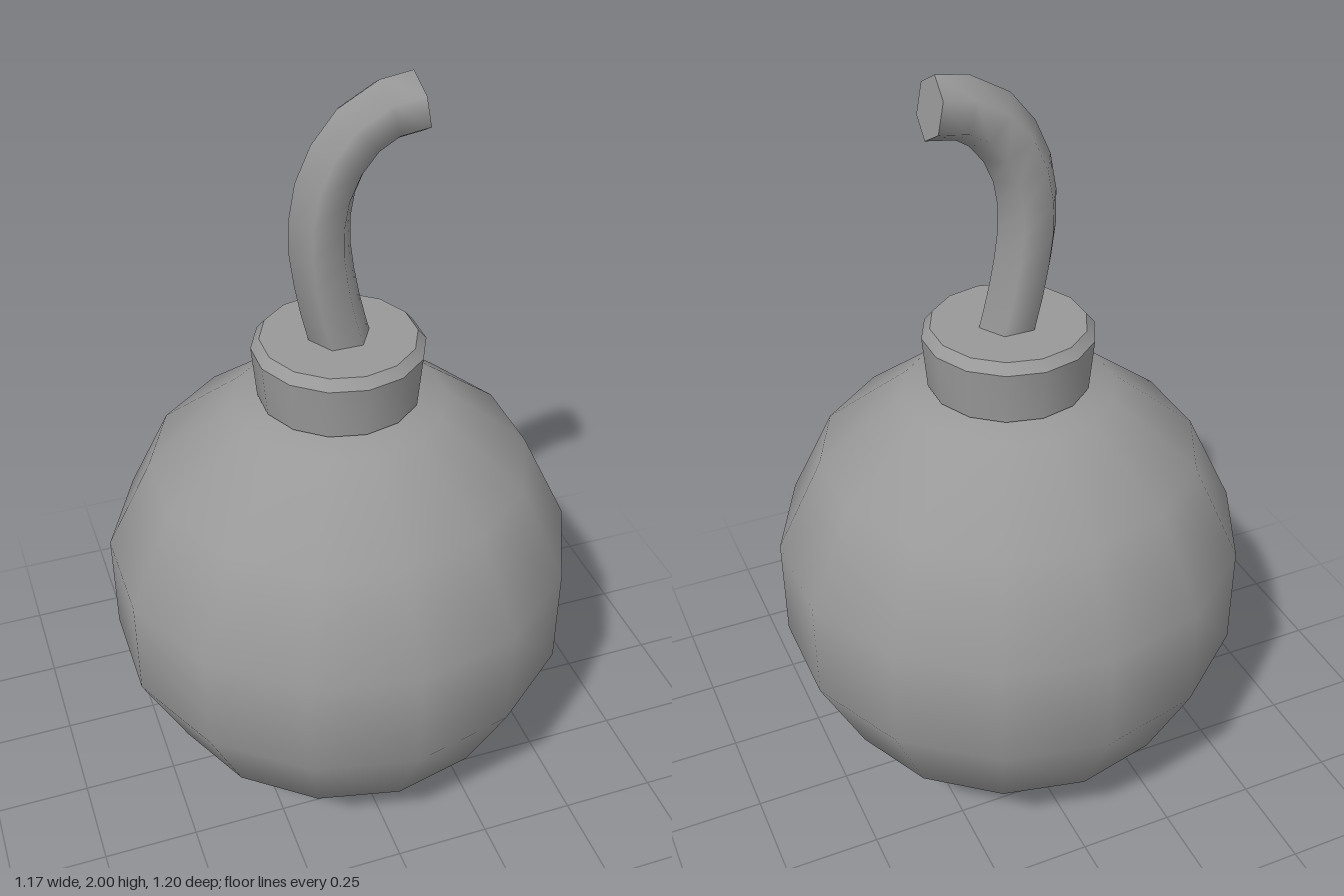
import * as THREE from 'three';
import { toCreasedNormals } from 'three/addons/utils/BufferGeometryUtils.js';

const SIDES = 14;

// Bends an upright unit cylinder along a curve in the xy plane
function bentRod(curve, radius, sides, steps) {
  const geometry = new THREE.CylinderGeometry(radius, radius, 1, sides, steps);
  geometry.rotateY(Math.PI / 2); // put corners, not flats, in the bending plane
  geometry.translate(0, 0.5, 0);
  const pos = geometry.attributes.position;
  for (let i = 0; i < pos.count; i++) {
    const t = THREE.MathUtils.clamp(pos.getY(i), 0, 1);
    const p = curve.getPointAt(t);
    const d = curve.getTangentAt(t);
    const x = pos.getX(i);
    pos.setXYZ(i, p.x + d.y * x, p.y - d.x * x, pos.getZ(i));
  }
  return toCreasedNormals(geometry, 1.15);
}

export function createModel() {
  const group = new THREE.Group();
  const material = new THREE.MeshStandardMaterial({ color: 0x999999 });
  const add = (name, geometry) => {
    const mesh = new THREE.Mesh(geometry, material);
    mesh.name = name;
    group.add(mesh);
  };

  // Low-sided round body, corners turned to face front and back
  const body = new THREE.SphereGeometry(0.616, SIDES, SIDES / 2);
  body.rotateY(Math.PI / 2);
  body.translate(0, 0.617, 0);
  add('body', body);

  // Flared collar with a tucked-in foot and a bevelled rim
  const profile = [
    [0.16, 1.18], [0.202, 1.195], [0.214, 1.33], [0.193, 1.355], [0, 1.355],
  ].map(([r, y]) => new THREE.Vector2(r, y));
  add('collar', toCreasedNormals(new THREE.LatheGeometry(profile, SIDES), 0.6));

  // Curved six-sided fuse rising out of the collar
  const path = new THREE.CatmullRomCurve3([
    [0.015, 1.3], [0, 1.355], [-0.033, 1.5], [-0.048, 1.64], [-0.031, 1.755],
    [0.02, 1.85], [0.09, 1.908], [0.187, 1.926],
  ].map(([x, y]) => new THREE.Vector3(x, y, 0)));
  add('fuse', bentRod(path, 0.075, 6, 10));

  return group;
}
